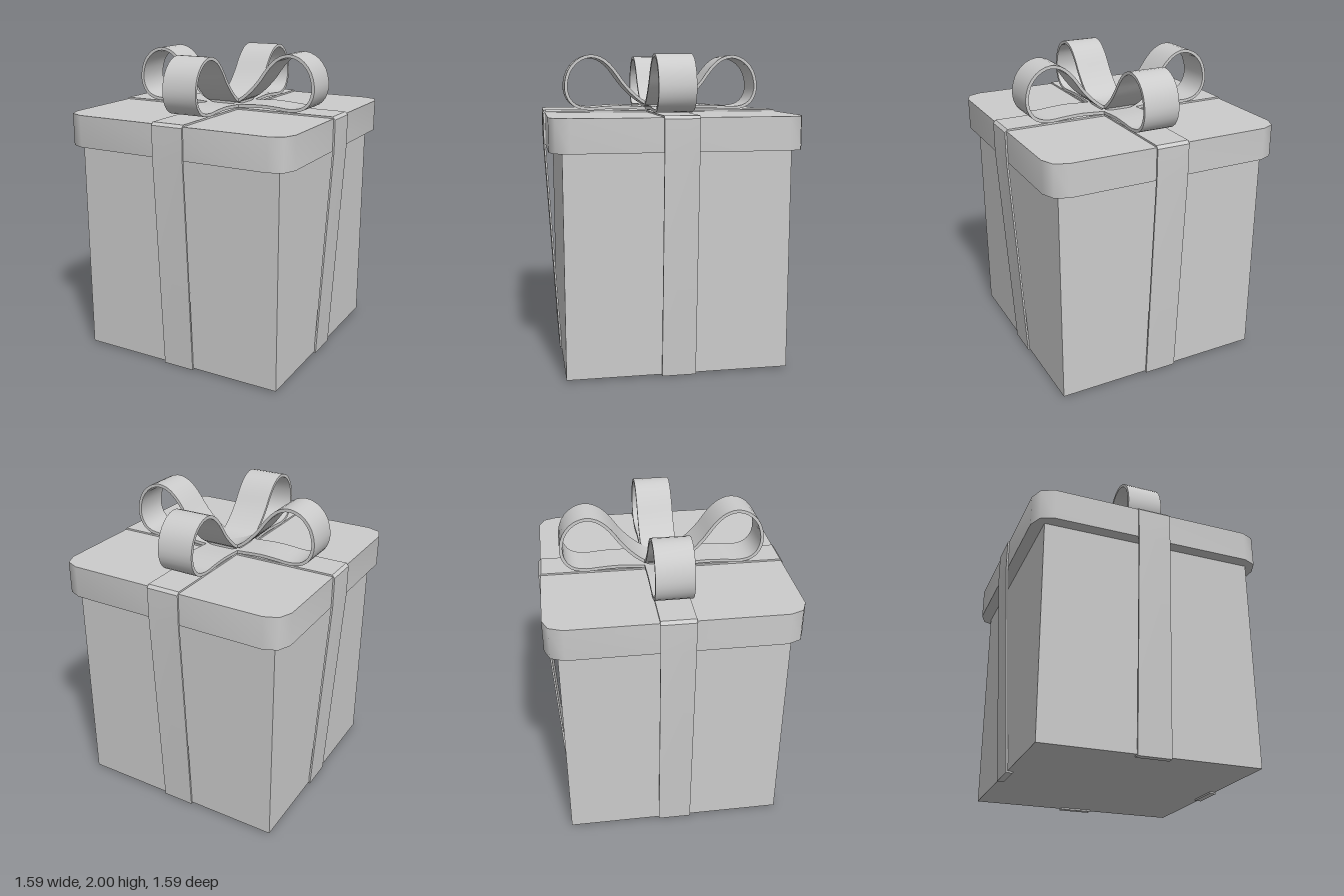
import * as THREE from 'three';
import { toCreasedNormals } from 'three/addons/utils/BufferGeometryUtils.js';

const material = new THREE.MeshStandardMaterial({ color: 0xcccccc });

function part(name, geometry) {
  const mesh = new THREE.Mesh(geometry, material);
  mesh.name = name;
  return mesh;
}

const toPoints = (list) => list.map(([x, y]) => new THREE.Vector2(x, y));

// A band of even thickness that follows a path in the xy plane, centred on z = 0
function band(path, thickness, width) {
  const outer = [], inner = [];
  path.forEach((p, i) => {
    const before = path[Math.max(i - 1, 0)], after = path[Math.min(i + 1, path.length - 1)];
    const a = (i > 0 ? p.clone().sub(before) : after.clone().sub(p)).normalize();
    const b = (i < path.length - 1 ? after.clone().sub(p) : a.clone()).normalize();
    const t = a.clone().add(b).normalize();
    const offset = new THREE.Vector2(-t.y, t.x).multiplyScalar(thickness / 2 / t.dot(a));
    outer.push(p.clone().add(offset));
    inner.unshift(p.clone().sub(offset));
  });
  const geometry = new THREE.ExtrudeGeometry(new THREE.Shape([...outer, ...inner]), {
    depth: width, bevelEnabled: false,
  });
  geometry.translate(0, 0, -width / 2);
  return toCreasedNormals(geometry, 0.7);
}

// Square lid with corners cut in two facets each
function lidGeometry(half, radius, bottom, top) {
  const points = [];
  for (let corner = 0; corner < 4; corner++) {
    const middle = (corner + 0.5) * Math.PI / 2;
    const cx = Math.sign(Math.cos(middle)) * (half - radius);
    const cy = Math.sign(Math.sin(middle)) * (half - radius);
    for (let k = 0; k <= 2; k++) {
      const angle = (corner + k / 2) * Math.PI / 2;
      points.push(new THREE.Vector2(cx + radius * Math.cos(angle), cy + radius * Math.sin(angle)));
    }
  }
  const geometry = new THREE.ExtrudeGeometry(new THREE.Shape(points), {
    depth: top - bottom, bevelEnabled: false,
  });
  geometry.rotateX(-Math.PI / 2).translate(0, bottom, 0);
  return toCreasedNormals(geometry, 1.1);
}

export function createModel() {
  const model = new THREE.Group();
  model.name = 'giftBox';

  // Box body and lid
  const body = part('boxBody', new THREE.BoxGeometry(1.41, 1.5, 1.41));
  body.position.y = 0.76;
  model.add(body, part('lid', lidGeometry(0.782, 0.12, 1.415, 1.622)));

  // Ribbon: tucked under the base, up one side, over the lid and down the other
  const side = [[-0.67, 0.006], [-0.708, 0.006], [-0.787, 1.415], [-0.787, 1.612], [-0.773, 1.627]];
  const wrap = [...side, ...side.map(([x, y]) => [-x, y]).reverse()];
  const ribbon = band(toPoints(wrap), 0.012, 0.215);

  // Bow loop: rises from the middle, curls over and comes back along the lid
  const curve = new THREE.SplineCurve(toPoints([
    [0, 1.662], [0.1, 1.676], [0.18, 1.728], [0.26, 1.81], [0.33, 1.905], [0.4, 1.968],
    [0.48, 1.989], [0.56, 1.96], [0.62, 1.89], [0.643, 1.79], [0.622, 1.71], [0.57, 1.662],
    [0.49, 1.646], [0.4, 1.652], [0.28, 1.657], [0.14, 1.649], [0, 1.642],
  ]));
  const loop = band(curve.getPoints(40), 0.02, 0.235);

  for (let i = 0; i < 4; i++) {
    const bowLoop = part('bowLoop', loop);
    bowLoop.rotation.y = i * Math.PI / 2;
    model.add(bowLoop);
    if (i < 2) {
      const strip = part('ribbon', ribbon);
      strip.rotation.y = i * Math.PI / 2;
      model.add(strip);
    }
  }
  return model;
}
